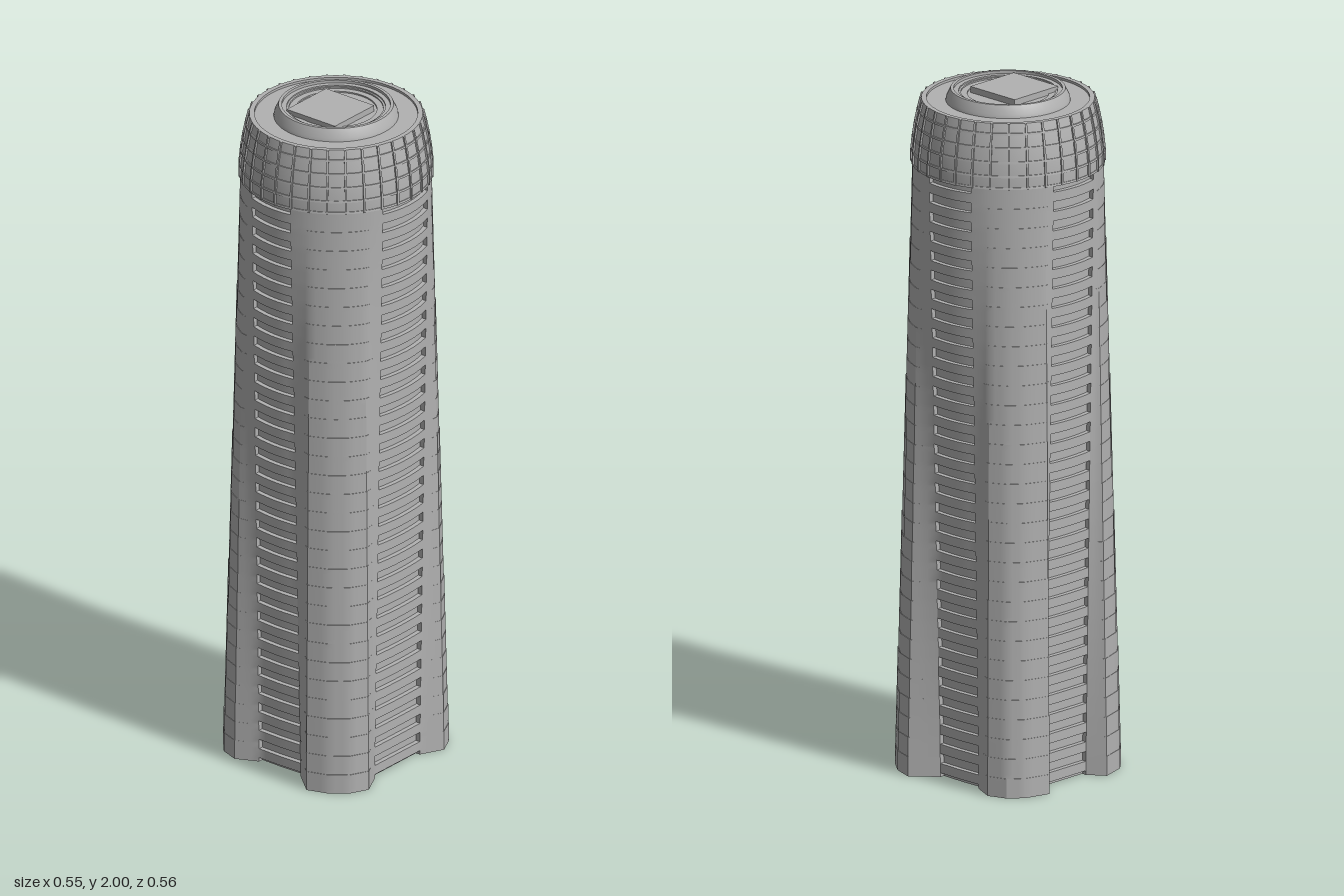
import * as THREE from 'three';
import { toCreasedNormals } from 'three/addons/utils/BufferGeometryUtils.js';

const FLOORS = 31, TOP = 1.785, PITCH = TOP / FLOORS, R = 0.27, RECESS = 0.014;

// Half of the ground plan: x, z, kind (0 = lobe, 'x' / 'z' = balcony strip running along that axis)
const HALF = [
  [0.222, 0, 'z'], [0.222, 0.1, 'z'], [0.222, 0.1, 0],
  [0.255, 0.168, 0], [0.23, 0.22, 0], [0.18, 0.26, 0], [0.12, 0.28, 0],
  [0.05, 0.22, 0], [0.05, 0.22, 'x'], [-0.025, 0.222, 'x'], [-0.1, 0.22, 'x'], [-0.1, 0.22, 0],
  [-0.165, 0.25, 0], [-0.22, 0.23, 0], [-0.255, 0.19, 0], [-0.277, 0.115, 0],
  [-0.228, 0.08, 0], [-0.228, 0.08, 'z'], [-0.228, 0, 'z'],
];

// Subdivide the half plan and mirror it across z = 0
function fullPlan() {
  const half = [];
  HALF.forEach((a, i) => {
    const b = HALF[i + 1];
    const n = b && a[2] === b[2] ? 3 : 1;
    for (let k = 0; k < n; k++) {
      const f = k / n;
      half.push(b ? [a[0] + (b[0] - a[0]) * f, a[1] + (b[1] - a[1]) * f, a[2]] : a);
    }
  });
  return [...half, ...half.slice(1, -1).reverse().map(([x, z, k]) => [x, -z, k])];
}

// Move a plan point toward the round upper section; strips keep their width
function place([x, z, kind], t, recess) {
  let tx, tz;
  if (kind === 'x') { tx = x; tz = Math.sign(z) * Math.sqrt(R * R - x * x); }
  else if (kind === 'z') { tz = z; tx = Math.sign(x) * Math.sqrt(R * R - z * z); }
  else if (Math.abs(x - 0.05) < 1e-6 || Math.abs(x + 0.1) < 1e-6) { tx = x; tz = Math.sign(z) * Math.sqrt(R * R - x * x); }
  else if (Math.abs(z) < 0.1001) { tz = z; tx = Math.sign(x) * Math.sqrt(R * R - z * z); }
  else { const s = R / Math.hypot(x, z); tx = x * s; tz = z * s; }
  const px = x + (tx - x) * t, pz = z + (tz - z) * t;
  return [px - (kind === 'z' ? Math.sign(x) * recess : 0), pz - (kind === 'x' ? Math.sign(z) * recess : 0)];
}

// Stack of floors, each a little rounder than the one below
function towerGeometry() {
  const plan = fullPlan(), n = plan.length, pos = [], idx = [];
  let rows = 0;
  const ring = (y, t, recess) => {
    for (const p of plan) {
      const [x, z] = place(p, t, recess);
      pos.push(x, y, z);
    }
    rows++;
  };
  for (let f = 0; f < FLOORS; f++) {
    const y = f * PITCH, t = f / (FLOORS - 1);
    ring(y, t, RECESS);
    ring(y + 0.012, t, RECESS);
    ring(y + 0.012, t, 0);
    ring(y + 0.04, t, 0);
    ring(y + 0.04, t, RECESS);
    ring(y + PITCH, t, RECESS);
  }
  for (let r = 0; r < rows - 1; r++) {
    for (let i = 0; i < n; i++) {
      const a = r * n + i, b = r * n + (i + 1) % n;
      idx.push(a, a + n, b, b, a + n, b + n);
    }
  }
  const g = new THREE.BufferGeometry();
  g.setAttribute('position', new THREE.Float32BufferAttribute(pos, 3));
  g.setIndex(idx);
  return toCreasedNormals(g, 0.5);
}

// Turned part with sharp edges
const lathe = (points, sides) => toCreasedNormals(
  new THREE.LatheGeometry(points.map(([r, y]) => new THREE.Vector2(r, y)), sides), 0.4);

export function createModel() {
  const model = new THREE.Group();
  const concrete = new THREE.MeshStandardMaterial({ color: 0xb2b2b2, side: THREE.DoubleSide });
  concrete.name = 'concrete grey';
  const add = (name, geometry, parent = model) => {
    const mesh = new THREE.Mesh(geometry, concrete);
    mesh.name = name;
    parent.add(mesh);
    return mesh;
  };

  add('towerFloors', towerGeometry());

  // Tapered crown with a shallow rim around the roof
  const curve = [[0.27, 1.785], [0.27, 1.82], [0.266, 1.86], [0.26, 1.9], [0.252, 1.94], [0.244, 1.972]];
  add('crown', lathe([[0.25, 1.785], ...curve, [0.23, 1.972], [0.23, 1.965], [0.001, 1.965]], 64));

  // Vertical ribs following the crown curve
  const ribs = new THREE.Group();
  ribs.name = 'crownRibs';
  model.add(ribs);
  const outer = curve.map(([r, y]) => new THREE.Vector2(r + 0.005, y));
  const inner = curve.map(([r, y]) => new THREE.Vector2(r - 0.004, y)).reverse();
  const ribGeometry = new THREE.ExtrudeGeometry(new THREE.Shape([...outer, ...inner]), { depth: 0.006, bevelEnabled: false });
  ribGeometry.translate(0, 0, -0.003);
  for (let i = 0; i < 32; i++) add('crownRib', ribGeometry, ribs).rotation.y = i * Math.PI / 16;

  // Thin horizontal bands between the ribs
  for (let i = 0; i < 5; i++) {
    const [r, y] = curve[i];
    add('crownBand', lathe([[r - 0.004, y], [r + 0.003, y], [r + 0.002, y + 0.006], [r - 0.004, y + 0.006]], 64));
  }

  // Roof drum with stepped rings and the square platform
  add('roofDrum', lathe([
    [0.176, 1.965], [0.174, 1.975], [0.162, 2], [0.153, 2], [0.153, 1.992], [0.139, 1.992],
    [0.139, 1.988], [0.133, 1.988], [0.133, 1.984], [0.115, 1.984], [0.115, 1.98], [0.001, 1.98],
  ], 48));
  add('roofPlatform', new THREE.BoxGeometry(0.175, 0.02, 0.175)).position.set(0, 1.988, 0.025);
  return model;
}
